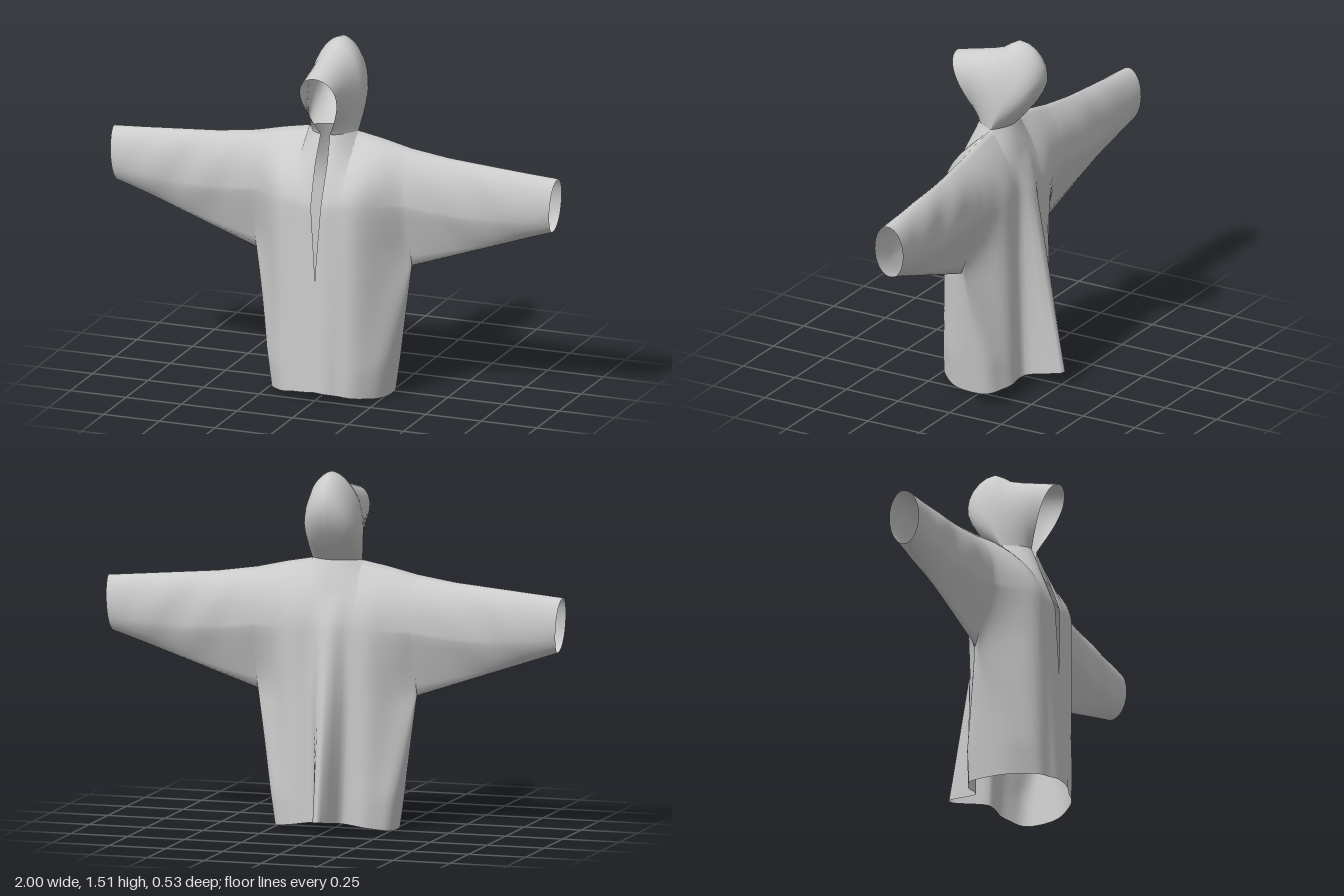
import * as THREE from 'three';
import { mergeGeometries, mergeVertices } from 'three/addons/utils/BufferGeometryUtils.js';

const { lerp, clamp } = THREE.MathUtils;
const ROWS = 32, LOW = 12, MID = 18;      // row index of the underarm and of the chest
const UNDERARM = 0.57, CHEST = 0.84, ARM_X = 0.35, NECK_X = 0.11, NECK_Y = 1.135, ZC = 0.03;
const NECK_COLS = 8, COLS = 22;

// piecewise linear lookup in a list of [key, value]
function interp(table, k) {
  for (let i = 1; i < table.length; i++) {
    const [k0, v0] = table[i - 1], [k1, v1] = table[i];
    if (k <= k1) return lerp(v0, v1, clamp((k - k0) / (k1 - k0), 0, 1));
  }
  return table[table.length - 1][1];
}

// surface patch through fn(i, j) -> [x, y, z]
function patch(ni, nj, fn, flip) {
  const pos = [], idx = [];
  for (let i = 0; i <= ni; i++) for (let j = 0; j <= nj; j++) pos.push(...fn(i, j));
  for (let i = 0; i < ni; i++) for (let j = 0; j < nj; j++) {
    const a = i * (nj + 1) + j, b = a + nj + 1;
    if (flip) idx.push(a, b + 1, b, a, a + 1, b + 1);
    else idx.push(a, b, b + 1, a, b + 1, a + 1);
  }
  const g = new THREE.BufferGeometry();
  g.setAttribute('position', new THREE.Float32BufferAttribute(pos, 3));
  g.setIndex(idx);
  return g;
}

const shoulderY = x => interp([[NECK_X, NECK_Y], [0.22, 1.115], [ARM_X, 1.085], [0.52, 1.06], [1, 1.02]], x);
const slit = y => interp([[0.54, 0], [0.85, 0.022], [1.02, 0.026], [NECK_Y, 0.02]], y);

// neckline: deeper at the front, flattening into the shoulder seam
function neckZ(x, side) {
  return ZC + side * (side > 0 ? 0.1 : 0.05) * Math.max(0, 1 - (x / NECK_X) ** 2);
}

// column position 0..1 from the centre line to the side seam
function columnU(i) {
  const n = NECK_X / ARM_X;
  if (i <= NECK_COLS) return n * Math.sin(Math.PI / 2 * i / NECK_COLS);
  return n + (1 - n) * Math.sin(Math.PI / 2 * (i - NECK_COLS) / (COLS - NECK_COLS));
}

// depth of the torso up to the chest: full at the hem, flattening towards the sleeves
function sectionZ(u, y, side) {
  const k = clamp((y - UNDERARM) / (CHEST - UNDERARM), 0, 1);
  const flat = clamp((y - 0.15) / 0.5, 0, 1);
  const round = Math.pow(Math.max(0, 1 - u * u), side > 0 ? 0.45 : 0.3);
  const bell = 0.5 + 0.5 * Math.cos(Math.PI * Math.pow(u, 1.9));
  const depth = side > 0 ? lerp(0.236, 0.21, y / CHEST) : lerp(0.14, 0.122, y / CHEST);
  const arm = (side > 0 ? 0.08 : 0.09) * k;
  return ZC + side * (arm + (depth - arm) * lerp(round, bell, flat));
}

// torso point on the +x half
function torso(i, r, side) {
  const u = columnU(i), top = shoulderY(u * ARM_X);
  const pleat = side < 0 ? Math.exp(-(Math.pow(u * ARM_X / 0.05, 3))) : 0;
  let y, z, x = u * ARM_X;
  if (r <= LOW) {
    const hem = 0.04 * (1 - Math.pow(u, 1.3)) + 0.02 * pleat;
    y = lerp(hem, UNDERARM, r / LOW);
    x = u * lerp(0.262, ARM_X, clamp(y / UNDERARM, 0, 1));
    z = sectionZ(u, y, side);
  } else if (r <= MID) {
    y = lerp(UNDERARM, CHEST, (r - LOW) / (MID - LOW));
    z = sectionZ(u, y, side);
  } else {
    const k = (r - MID) / (ROWS - MID);
    y = lerp(CHEST, top, k);
    z = lerp(sectionZ(u, CHEST, side), neckZ(x, side), Math.pow(k, lerp(side > 0 ? 1.1 : 1.5, 3, u)));
  }
  // back pleat, front slit and soft drape
  z -= pleat * 0.168 * clamp(1 - y, 0, 1);
  if (side > 0) x += slit(y) * (1 - Math.min(1, u * ARM_X / NECK_X));
  const fade = Math.sin(Math.PI * u) * clamp((1.05 - y) * 4, 0, 1);
  z += side * 0.005 * fade * Math.sin(38 * u * ARM_X + 2 * y);
  return [x, y, z];
}

// sleeve point: blends the armhole into the oval cuff
const SLEEVE = 24;
function sleeve(i, j, side) {
  const t = i / SLEEVE, w = j / (ROWS - LOW);
  const [, ay, az] = torso(COLS, LOW + j, side);
  const f = lerp((ay - UNDERARM) / (shoulderY(ARM_X) - UNDERARM), 0.5 - 0.5 * Math.cos(Math.PI * w), t);
  const x = ARM_X + t * lerp(0.625, 0.65, w);
  const y = lerp(lerp(UNDERARM, 0.785, t), shoulderY(x), f);
  const ripple = Math.sin(Math.PI * w) * Math.sin(Math.PI * t) * (1 - 0.5 * t);
  let z = lerp(az, 0.01 + side * 0.068 * Math.sin(Math.PI * w), t);
  z += side * ripple * (0.006 * Math.sin(26 * x + 14 * y) - 0.008);
  return [x, y, z];
}

// hood point: arches fanned from the neckline up to a narrow ridge
const HOOD = 2 * NECK_COLS, ARCH = 16;
const ridge = new THREE.CatmullRomCurve3([
  [1.412, 0.257], [1.44, 0.14], [1.472, 0.03], [1.515, -0.04], [1.49, -0.115],
  [1.425, -0.16], [1.35, -0.165], [1.265, -0.125], [NECK_Y, -0.02],
].map(([y, z]) => new THREE.Vector3(0, y, z)));
function hood(i, j) {
  const t = i / HOOD, phi = Math.PI * t, a = Math.PI / 2 * j / ARCH, s = Math.sin(a);
  const bx = NECK_X * Math.sin(phi), front = phi <= Math.PI / 2;
  const baseX = bx + (front ? 0.02 * (1 - Math.sin(phi)) : 0);
  const top = ridge.getPoint(t);
  const bulge = interp([[0, 0.068], [0.25, 0.045], [0.5, 0.03], [0.75, 0.04], [0.9, 0.035], [1, 0]], t);
  return [
    baseX * Math.pow(Math.max(0, Math.cos(a)), 1.4) + bulge * Math.max(0, Math.sin(2 * a)),
    lerp(NECK_Y, top.y, s),
    lerp(neckZ(bx, front ? 1 : -1), top.z, s),
  ];
}

export function createModel() {
  const group = new THREE.Group();
  const cloth = new THREE.MeshStandardMaterial({ color: 0xcccccc, side: THREE.DoubleSide });
  const mirror = (p, sx) => [p[0] * sx, p[1], p[2]];

  // joins patches into one smooth piece of cloth
  function addCloth(name, patches) {
    const g = mergeVertices(mergeGeometries(patches), 1e-4);
    g.computeVertexNormals();
    const mesh = new THREE.Mesh(g, cloth);
    mesh.name = name;
    group.add(mesh);
  }

  const body = [], hoodHalves = [];
  for (const sx of [1, -1]) {
    const arm = [];
    for (const side of [1, -1]) {
      const flip = sx * side < 0;
      body.push(patch(COLS, ROWS, (i, r) => mirror(torso(i, r, side), sx), flip));
      arm.push(patch(SLEEVE, ROWS - LOW, (i, j) => mirror(sleeve(i, j, side), sx), flip));
    }
    addCloth(sx > 0 ? 'leftSleeve' : 'rightSleeve', arm);
    hoodHalves.push(patch(HOOD, ARCH, (i, j) => mirror(hood(i, j), sx), sx < 0));
  }
  addCloth('coatBody', body);
  addCloth('hood', hoodHalves);
  return group;
}
